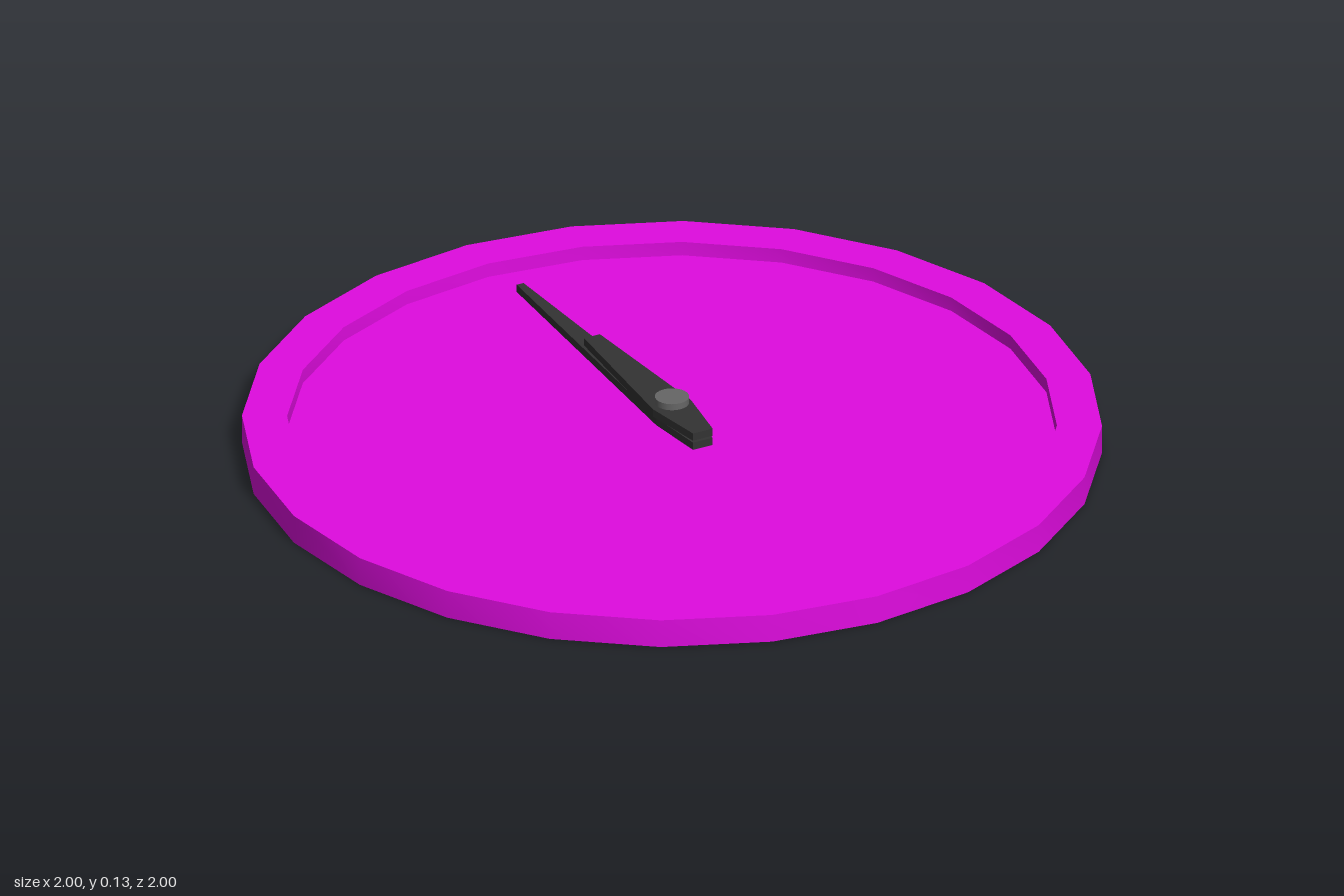
import * as THREE from 'three';
import { toCreasedNormals } from 'three/addons/utils/BufferGeometryUtils.js';

const paint = (color) => new THREE.MeshStandardMaterial({ color });

// Flat tapered pointer: widest at the pivot, narrow tip towards -z
function makeHand(name, y, thickness, tipZ, tipHalf, midHalf, material) {
  const tailZ = 0.15, tailHalf = 0.026;
  const outline = [
    [-tailHalf, -tailZ], [tailHalf, -tailZ], [midHalf, 0],
    [tipHalf, -tipZ], [-tipHalf, -tipZ], [-midHalf, 0],
  ].map(([x, v]) => new THREE.Vector2(x, v));
  const geometry = new THREE.ExtrudeGeometry(new THREE.Shape(outline), {
    depth: thickness, bevelEnabled: false,
  });
  geometry.rotateX(-Math.PI / 2); // lay flat, thickness upwards
  const hand = new THREE.Mesh(geometry, material);
  hand.name = name;
  hand.position.y = y;
  return hand;
}

export function createModel() {
  const model = new THREE.Group();
  model.name = 'clock';

  // Dial: shallow 24-sided dish with a raised rim
  const profile = [
    [0, 0], [1, 0], [1, 0.07], [0.895, 0.07], [0.895, 0.035], [0, 0.035],
  ].map(([r, y]) => new THREE.Vector2(r, y));
  const dial = new THREE.Mesh(
    toCreasedNormals(new THREE.LatheGeometry(profile, 24), 0.6),
    paint(0xe00be0),
  );
  dial.name = 'dial';
  model.add(dial);

  // Hands, both pointing to the back
  const dark = paint(0x333333);
  model.add(makeHand('minuteHand', 0.069, 0.019, -0.74, 0.009, 0.042, dark));
  model.add(makeHand('hourHand', 0.093, 0.019, -0.39, 0.021, 0.05, dark));

  // Pivot cap above the hands
  const cap = new THREE.Mesh(new THREE.CylinderGeometry(0.04, 0.04, 0.016, 24), paint(0x666666));
  cap.name = 'pivotCap';
  cap.position.y = 0.126;
  model.add(cap);

  return model;
}
